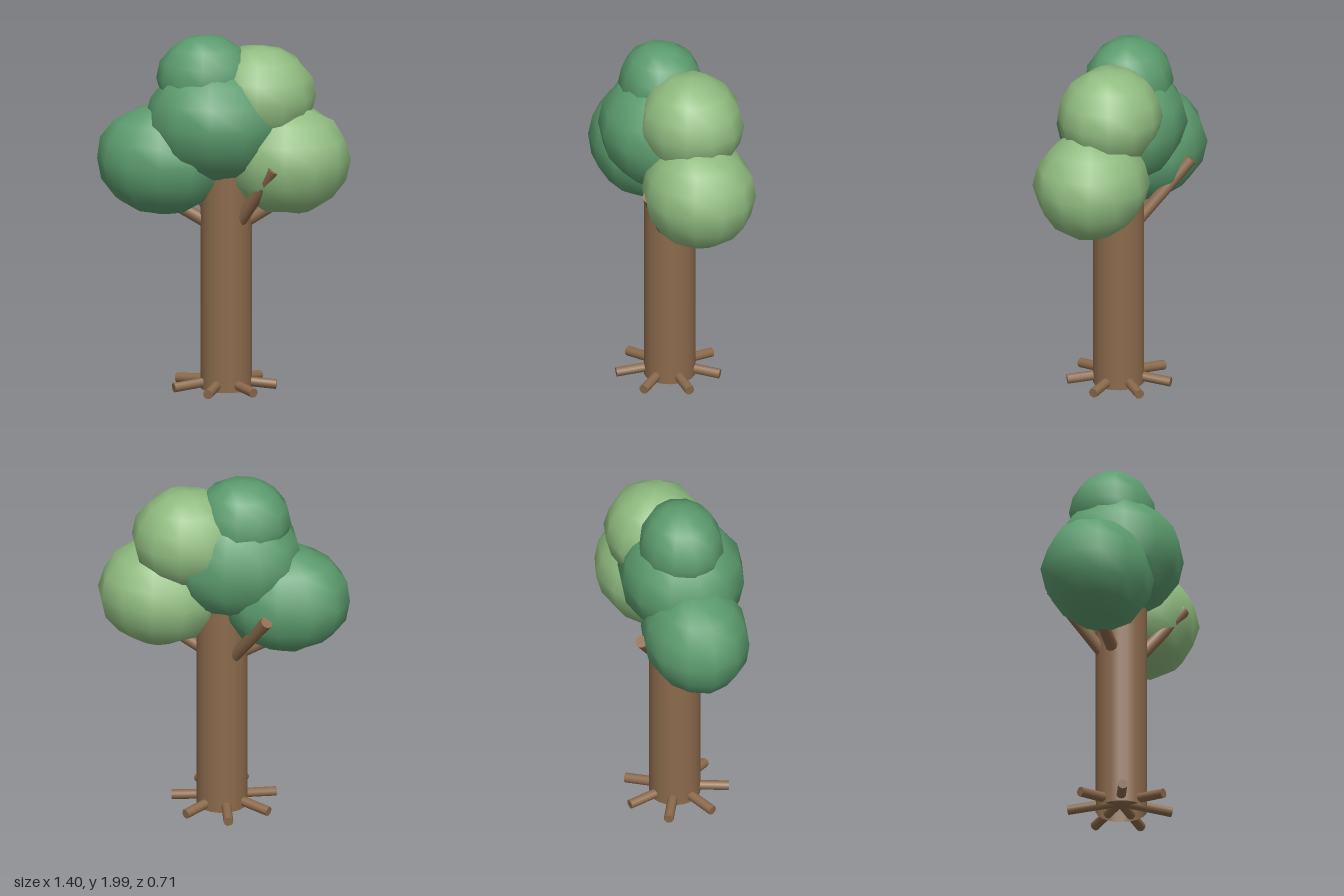
import * as THREE from 'three';
import { mergeVertices } from 'three/addons/utils/BufferGeometryUtils.js';

const bark = new THREE.MeshStandardMaterial({ color: 0x8b6a4c });
const openBark = new THREE.MeshStandardMaterial({ color: 0x8b6a4c, side: THREE.DoubleSide });
const darkLeaf = new THREE.MeshStandardMaterial({ color: 0x5c9c6e });
const lightLeaf = new THREE.MeshStandardMaterial({ color: 0x90bc80 });

// Seeded random numbers in -1..1
function makeRandom(seed) {
  let s = seed;
  return () => {
    s = (s * 16807) % 2147483647;
    return (s / 2147483647) * 2 - 1;
  };
}

// Round limb between two points
function limb(name, a, b, radius) {
  const from = new THREE.Vector3(...a), to = new THREE.Vector3(...b);
  const dir = to.clone().sub(from);
  const mesh = new THREE.Mesh(new THREE.CylinderGeometry(radius, radius, dir.length(), 10), bark);
  mesh.position.copy(from).add(to).multiplyScalar(0.5);
  mesh.quaternion.setFromUnitVectors(new THREE.Vector3(0, 1, 0), dir.normalize());
  mesh.name = name;
  return mesh;
}

// Slightly lumpy low-poly ball of leaves
function leafBall(name, center, radii, material, seed) {
  const random = makeRandom(seed * 7919);
  let geo = new THREE.SphereGeometry(1, 12, 8);
  geo.deleteAttribute('uv');
  geo.deleteAttribute('normal');
  geo = mergeVertices(geo, 1e-3);
  const p = geo.attributes.position;
  const v = new THREE.Vector3();
  for (let i = 0; i < p.count; i++) {
    v.fromBufferAttribute(p, i).multiplyScalar(1 + 0.025 * random());
    p.setXYZ(i, v.x * radii[0], v.y * radii[1], v.z * radii[2]);
  }
  geo.computeVertexNormals();
  const mesh = new THREE.Mesh(geo, material);
  mesh.position.set(...center);
  mesh.name = name;
  return mesh;
}

export function createModel() {
  const tree = new THREE.Group();
  tree.name = 'tree';
  const cx = 0.015, cz = -0.01;

  // Trunk, open at the foot where the roots meet
  const trunk = new THREE.Mesh(new THREE.CylinderGeometry(0.142, 0.142, 1.28, 20, 1, true), openBark);
  trunk.position.set(cx, 0.65, cz);
  trunk.name = 'trunk';
  tree.add(trunk);

  // Seven roots spread evenly around the base
  const roots = new THREE.Group();
  roots.name = 'roots';
  for (let i = 0; i < 7; i++) {
    const a = (i / 7) * Math.PI * 2;
    const end = [Math.cos(a) * 0.293, 0.033, cz + Math.sin(a) * 0.293];
    roots.add(limb('root', [0, 0.06, cz], end, 0.027));
  }
  tree.add(roots);

  // Branches reaching up into the leaves
  const branches = new THREE.Group();
  branches.name = 'branches';
  branches.add(
    limb('leftBranch', [cx, 0.88, cz], [0.42, 1.14, -0.02], 0.035),
    limb('rightBranch', [cx, 0.88, cz], [-0.4, 1.12, -0.01], 0.035),
    limb('frontBranch', [cx, 0.83, cz], [0.3, 1.3, 0.24], 0.035),
    limb('backBranch', [cx, 0.83, cz], [-0.28, 1.28, -0.3], 0.035)
  );
  tree.add(branches);

  // Crown
  const crown = new THREE.Group();
  crown.name = 'crown';
  crown.add(
    leafBall('rightLeaves', [-0.335, 1.295, -0.005], [0.365, 0.305, 0.295], darkLeaf, 11),
    leafBall('centerLeaves', [-0.05, 1.515, 0.005], [0.385, 0.335, 0.345], darkLeaf, 23),
    leafBall('topLeaves', [-0.1, 1.75, -0.01], [0.265, 0.245, 0.235], darkLeaf, 37),
    leafBall('upperLeftLeaves', [0.2, 1.65, -0.06], [0.305, 0.28, 0.285], lightLeaf, 53),
    leafBall('leftLeaves', [0.355, 1.3, -0.035], [0.345, 0.305, 0.31], lightLeaf, 71)
  );
  tree.add(crown);
  return tree;
}
